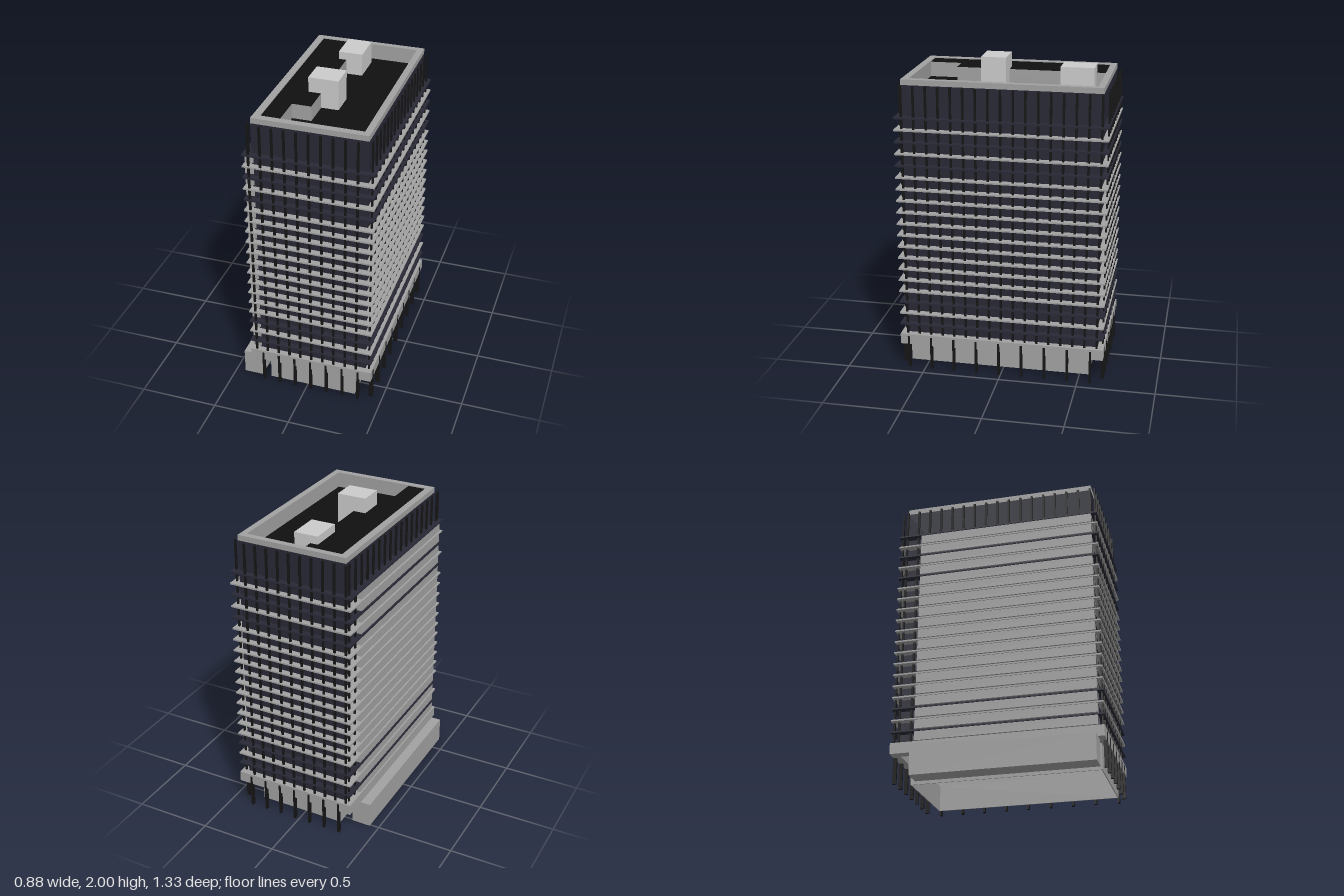
import * as THREE from 'three';

const mat = (color) => new THREE.MeshStandardMaterial({ color });
const concrete = mat(0xa2a2a2);
const pale = mat(0xcccccc);
const navy = mat(0x282836);
const black = mat(0x151515);
const roofBlack = mat(0x101010);

// Footprints as [x0, x1, z0, z1]
const SLAB = [-0.375, 0.435, -0.66, 0.66];
const CORE = [-0.325, 0.39, -0.62, 0.62];
const LOBBY = [-0.255, 0.32, -0.56, 0.62];
const ROOF = [-0.28, 0.35, -0.58, 0.575];
const inset = ([x0, x1, z0, z1], d) => [x0 + d, x1 - d, z0 + d, z1 - d];

const FLOOR = 0.0762, FIRST = 0.305, FLOORS = 19;
const BASE_TOP = 0.235, WALL_TOP = 1.875;

export function createModel() {
  const model = new THREE.Group();

  const add = (name, geometry, material, parent = model) => {
    const mesh = new THREE.Mesh(geometry, material);
    mesh.name = name;
    parent.add(mesh);
    return mesh;
  };

  const group = (name) => {
    const g = new THREE.Group();
    g.name = name;
    model.add(g);
    return g;
  };

  // Block filling a footprint between two heights
  const block = (name, [x0, x1, z0, z1], y0, y1, material, parent) => {
    const mesh = add(name, new THREE.BoxGeometry(x1 - x0, y1 - y0, z1 - z0), material, parent);
    mesh.position.set((x0 + x1) / 2, (y0 + y1) / 2, (z0 + z1) / 2);
  };

  // Rectangular ring between two footprints
  const corners = ([x0, x1, z0, z1]) =>
    [[x0, -z1], [x1, -z1], [x1, -z0], [x0, -z0]].map(([x, y]) => new THREE.Vector2(x, y));
  const ring = (name, outer, inner, y0, y1, material, parent) => {
    const shape = new THREE.Shape(corners(outer));
    shape.holes.push(new THREE.Path(corners(inner)));
    const geometry = new THREE.ExtrudeGeometry(shape, { depth: y1 - y0, bevelEnabled: false });
    geometry.rotateX(-Math.PI / 2);
    add(name, geometry, material, parent).position.y = y0;
  };

  // Ground floor: hollow lobby, podium slab and side annex
  ring('lobbyWall', LOBBY, inset(LOBBY, 0.006), 0, 0.165, concrete);
  ring('podiumSlab', SLAB, inset(CORE, 0.012), 0.165, BASE_TOP, concrete);
  block('annex', [-0.44, -0.315, -0.51, 0.62], 0, 0.165, concrete);

  // Free-standing columns on the front, back and left sides
  const columns = group('groundColumns');
  for (let i = 0; i < 7; i++) {
    const x = -0.29 + i * 0.1065;
    for (const z of [-0.651, 0.651])
      block('column', [x - 0.007, x + 0.007, z - 0.012, z + 0.012], 0, 0.22, black, columns);
  }
  for (let i = 0; i < 9; i++) {
    const z = 0.605 - i * 0.148;
    block('column', [0.411, 0.438, z - 0.007, z + 0.007], 0, 0.22, black, columns);
  }

  // Dark curtain wall
  ring('curtainWall', CORE, inset(CORE, 0.006), BASE_TOP - 0.03, WALL_TOP, navy);

  // Projecting sunshade at every floor, a few of them dark
  const shades = group('sunshades');
  const darkFloors = [0, 2, 14, 16, 18];
  for (let i = 0; i < FLOORS; i++) {
    const y = FIRST + i * FLOOR;
    const dark = darkFloors.includes(i);
    ring('sunshade', SLAB, inset(CORE, 0.004), y - 0.005, y + 0.005, dark ? navy : concrete, shades);
  }

  // Blank panels, one per floor, closing the right side
  const panels = group('sidePanels');
  for (let i = 0; i < FLOORS; i++) {
    const top = FIRST + i * FLOOR - 0.005;
    block('sidePanel', [-0.37, -0.315, -0.51, 0.622], top - 0.058, top, concrete, panels);
  }

  // Slender posts standing clear of the curtain wall
  const posts = group('facadePosts');
  const post = (x, z, w, d) =>
    block('facadePost', [x - w / 2, x + w / 2, z - d / 2, z + d / 2], BASE_TOP, WALL_TOP, black, posts);
  for (let i = 0; i < 10; i++) {
    const x = -0.3375 + i * 0.0745;
    for (const z of [-0.647, 0.647]) post(x, z, 0.014, 0.01);
  }
  for (let i = 0; i < 17; i++) {
    const z = -0.616 + i * 0.077;
    for (const x of [-0.344, 0.411]) post(x, z, 0.01, 0.014);
  }

  // Parapet, sunken roof and the raised deck beside it
  ring('parapetCap', CORE, ROOF, WALL_TOP, 1.91, concrete);
  ring('parapetLining', inset(CORE, 0.008), ROOF, 1.8, WALL_TOP, concrete);
  block('sunkenRoof', ROOF, 1.8, 1.81, roofBlack);
  const deckShape = new THREE.Shape(
    [[-0.28, -0.575], [-0.16, -0.575], [-0.16, -0.37], [-0.04, -0.37], [-0.04, 0.58], [-0.28, 0.58]]
      .map(([x, y]) => new THREE.Vector2(x, y)));
  const deck = new THREE.ExtrudeGeometry(deckShape, { depth: 0.095, bevelEnabled: false });
  deck.rotateX(-Math.PI / 2);
  add('raisedRoofDeck', deck, [roofBlack, concrete]).position.y = 1.81;

  // Rooftop plant rooms
  block('tallPlantRoom', [-0.12, 0.07, 0.03, 0.19], 1.81, 2, pale);
  block('lowPlantRoom', [-0.09, 0.065, -0.52, -0.31], 1.81, 1.955, pale);

  return model;
}
